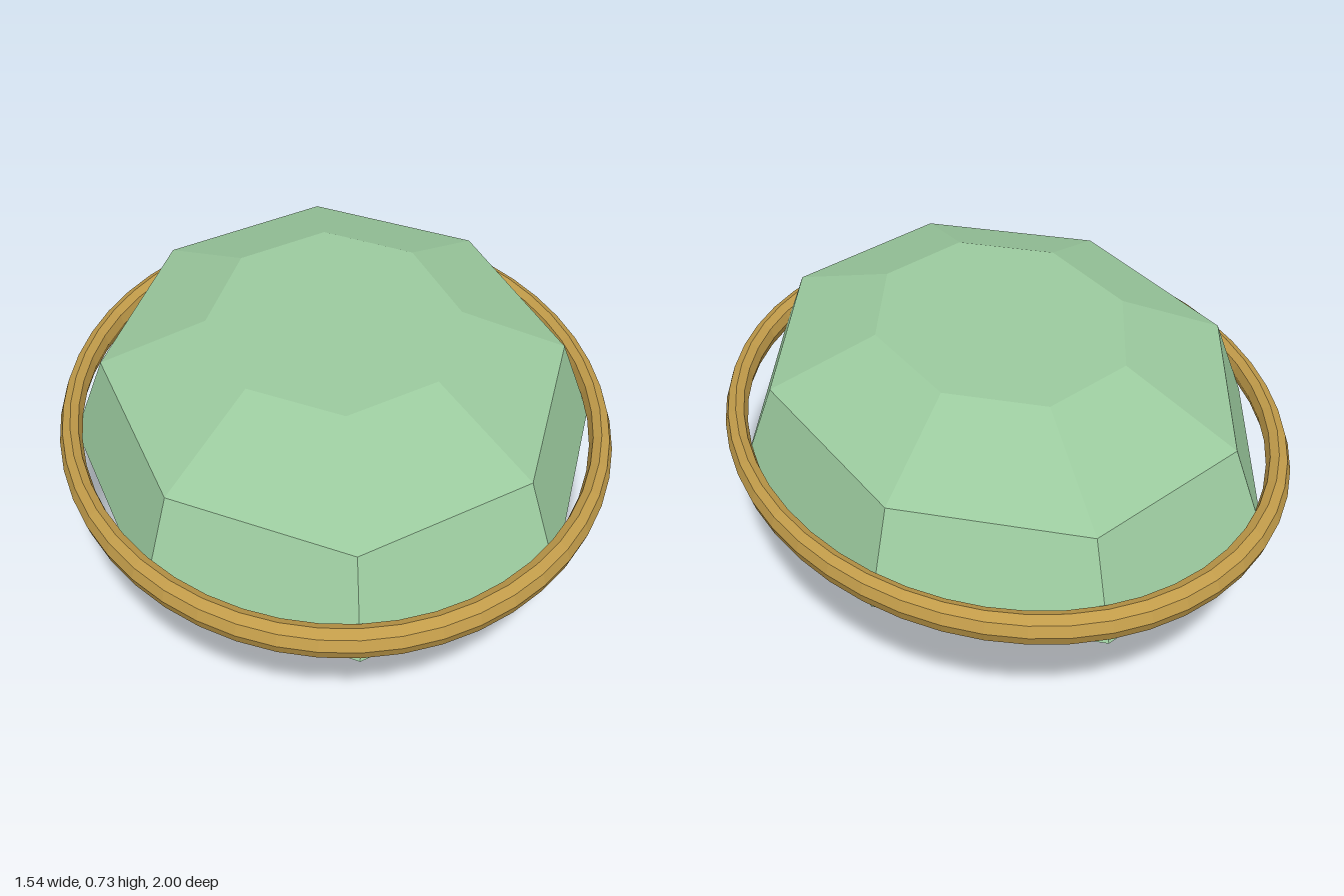
import * as THREE from 'three';

// Oval faceted gem held in a thin metal ring
export function createModel() {
  const model = new THREE.Group();
  const gemGreen = new THREE.MeshStandardMaterial({ color: 0x9ccb9f, flatShading: true });
  gemGreen.name = 'gemGreen';
  const gold = new THREE.MeshStandardMaterial({ color: 0xc29c4a, flatShading: true });
  gold.name = 'gold';

  const ovalX = 0.755; // width of the gem relative to its length

  // Eight-sided gem: culet, girdle, crown edge and flat table
  const profile = [[0, 0], [0.025, 0], [0.968, 0.375], [0.855, 0.605], [0.465, 0.73], [0, 0.73]]
    .map(([r, y]) => new THREE.Vector2(r, y));
  const gem = new THREE.Mesh(new THREE.LatheGeometry(profile, 8), gemGreen);
  gem.name = 'gem';
  gem.scale.x = ovalX;
  model.add(gem);

  // Oval ring resting just above the girdle
  const ringGeometry = new THREE.TorusGeometry(0.96, 0.04, 8, 48).rotateX(Math.PI / 2);
  const ring = new THREE.Mesh(ringGeometry, gold);
  ring.name = 'settingRing';
  ring.scale.x = 0.77;
  ring.position.y = 0.435;
  model.add(ring);

  return model;
}
